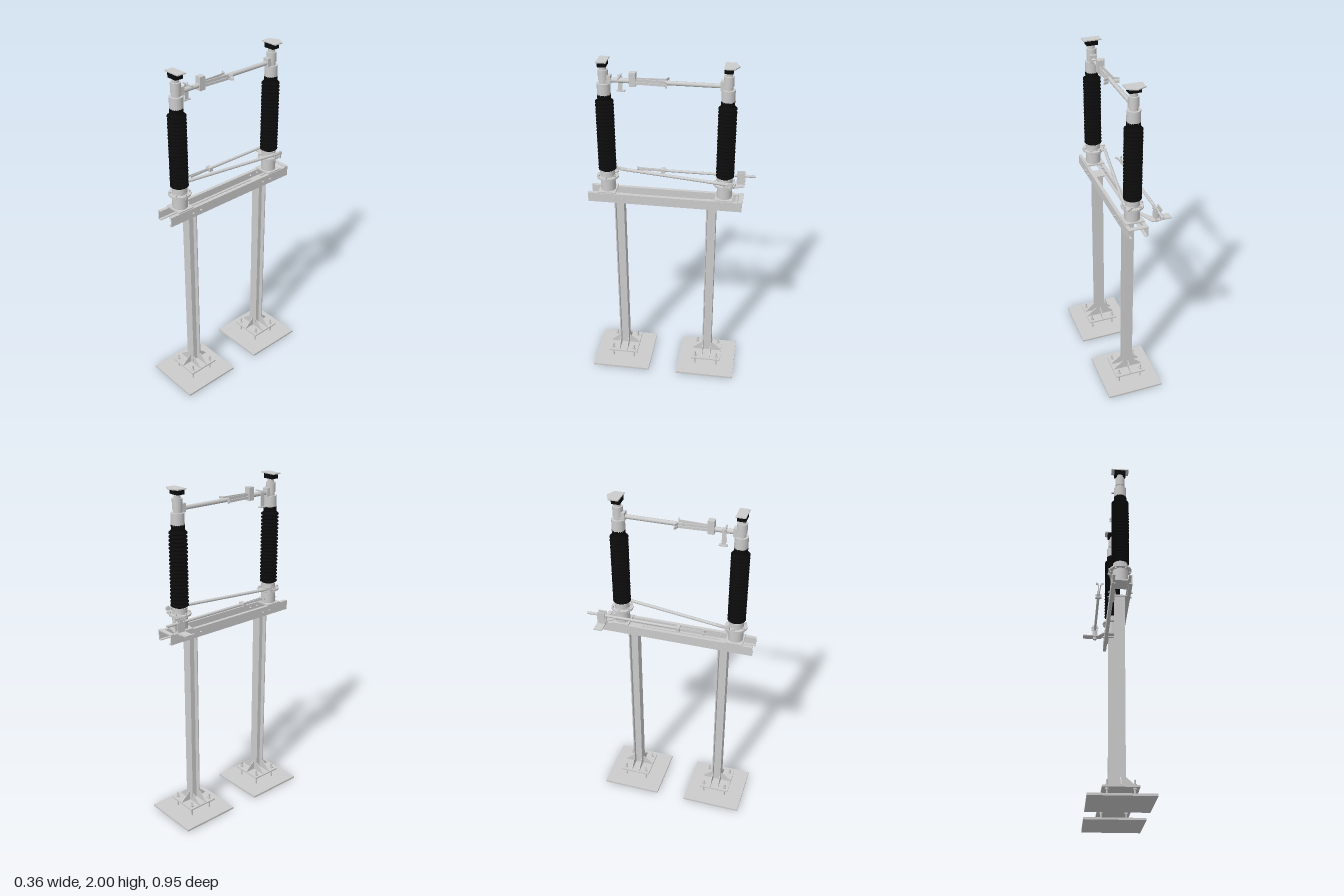
import * as THREE from 'three';

const grey = new THREE.MeshStandardMaterial({ color: 0xcccccc, side: THREE.DoubleSide });
const flat = new THREE.MeshStandardMaterial({ color: 0xcccccc, flatShading: true, side: THREE.DoubleSide });
const black = new THREE.MeshStandardMaterial({ color: 0x0a0a0a, side: THREE.DoubleSide });

function add(parent, name, geo, mat, x = 0, y = 0, z = 0) {
  const m = new THREE.Mesh(geo, mat);
  m.name = name;
  m.position.set(x, y, z);
  parent.add(m);
  return m;
}
const box = (p, name, w, h, d, x, y, z, mat = flat) =>
  add(p, name, new THREE.BoxGeometry(w, h, d), mat, x, y, z);
// Upright cylinder between two heights
const drum = (p, name, r, y0, y1, x = 0, z = 0, mat = grey, n = 20) =>
  add(p, name, new THREE.CylinderGeometry(r, r, y1 - y0, n), mat, x, (y0 + y1) / 2, z);
// Round bar between two points
function bar(p, name, a, b, r, mat = grey, n = 12) {
  const A = new THREE.Vector3(...a), B = new THREE.Vector3(...b);
  const m = add(p, name, new THREE.CylinderGeometry(r, r, A.distanceTo(B), n), mat);
  m.position.copy(A).add(B).multiplyScalar(0.5);
  m.quaternion.setFromUnitVectors(new THREE.Vector3(0, 1, 0), B.sub(A).normalize());
  return m;
}
// Flat strip between two points, width measured upright
function strip(p, name, a, b, width, thick) {
  const A = new THREE.Vector3(...a), B = new THREE.Vector3(...b);
  const m = box(p, name, thick, width, A.distanceTo(B), 0, 0, 0);
  m.position.copy(A).add(B).multiplyScalar(0.5);
  m.lookAt(B);
  return m;
}
// Polygon plate lying level; points are [x, z]
function plate(p, name, pts, thick, y) {
  const shape = new THREE.Shape(pts.map(([x, z]) => new THREE.Vector2(x, -z)));
  const g = new THREE.ExtrudeGeometry(shape, { depth: thick, bevelEnabled: false });
  return add(p, name, g.rotateX(-Math.PI / 2), flat, 0, y, 0);
}

// Footing, anchor bolts, stiffeners and H-section post
function makeColumn(z) {
  const g = new THREE.Group();
  g.name = 'supportColumn';
  g.position.set(0.005, 0, z);
  box(g, 'footing', 0.345, 0.012, 0.358, 0, 0.006, 0);
  box(g, 'basePlate', 0.19, 0.009, 0.185, 0, 0.07, 0);
  for (const sx of [-1, 1]) for (const sz of [-1, 1]) {
    const x = sx * 0.07, bz = sz * 0.068;
    drum(g, 'anchorRod', 0.005, 0.01, 0.107, x, bz, grey, 8);
    for (const y of [0.056, 0.0745]) drum(g, 'anchorNut', 0.01, y, y + 0.01, x, bz, flat, 6);
  }
  for (const s of [-1, 1]) {
    box(g, 'flange', 0.057, 1.09, 0.006, 0, 0.62, s * 0.025);
    // Triangular stiffeners on the sides and faces of the post
    const tri = new THREE.Shape([[0, 0], [0.062, 0], [0.062, 0.006], [0.006, 0.055], [0, 0.055]]
      .map(p => new THREE.Vector2(...p)));
    const geo = () => new THREE.ExtrudeGeometry(tri, { depth: 0.005, bevelEnabled: false });
    for (const fz of [-1, 1]) {
      const side = add(g, 'sideStiffener', geo(), flat, s * 0.026, 0.0745, fz * 0.025 - 0.0025);
      if (s < 0) side.rotation.y = Math.PI, side.position.z += 0.005;
    }
    const face = add(g, 'faceStiffener', geo(), flat, s * 0.0025, 0.0745, s * 0.028);
    face.rotation.y = -s * Math.PI / 2;
  }
  box(g, 'web', 0.005, 1.09, 0.05, 0, 0.62, 0);
  return g;
}

// Bearing, ribbed insulator and terminal head
function makePole(z, dir) {
  const g = new THREE.Group();
  g.name = dir > 0 ? 'backPole' : 'frontPole';
  g.position.set(0.006, 0, z);
  box(g, 'mountPlate', 0.11, 0.008, 0.1, 0, 1.223, 0);
  drum(g, 'bearing', 0.043, 1.225, 1.32);
  drum(g, 'turningRing', 0.063, 1.304, 1.314);
  drum(g, 'lowerCap', 0.042, 1.32, 1.35);
  for (let i = 0; i < 6; i++) {
    const a = i * Math.PI / 3;
    drum(g, 'ringBolt', 0.006, 1.296, 1.325, 0.054 * Math.cos(a), 0.054 * Math.sin(a), flat, 6);
  }
  // Ribbed insulator
  const pts = [new THREE.Vector2(0.035, 1.345)];
  const n = 20, step = 0.0212;
  for (let i = 0; i < n; i++) {
    const y = 1.352 + i * step;
    for (const [r, f] of [[0.04, 0], [0.051, 0.3], [0.051, 0.5], [0.04, 0.95]])
      pts.push(new THREE.Vector2(r, y + f * step));
  }
  pts.push(new THREE.Vector2(0.037, 1.78), new THREE.Vector2(0.037, 1.808));
  add(g, 'insulator', new THREE.LatheGeometry(pts, 24), black);
  drum(g, 'upperCap', 0.037, 1.804, 1.87);
  drum(g, 'headNeck', 0.024, 1.87, 1.893);
  drum(g, 'headSleeve', 0.028, 1.89, 1.945);
  drum(g, 'headSpindle', 0.019, 1.945, 1.97);
  box(g, 'armSocket', 0.036, 0.048, 0.045, 0, 1.892, dir * 0.02);
  box(g, 'terminalBlock', 0.066, 0.028, 0.046, 0, 1.98, 0, black);
  const outline = dir > 0
    ? [[-0.051, 0.024], [0.051, 0.024], [0.051, -0.032], [0, -0.056], [-0.051, -0.032]]
    : [[-0.051, 0.026], [0.051, 0.026], [0.051, -0.028], [-0.051, -0.028]];
  plate(g, 'terminalPlate', outline, 0.006, 1.994);
  return g;
}

export function createModel() {
  const root = new THREE.Group();
  root.name = 'disconnectSwitch';
  root.add(makeColumn(0.295), makeColumn(-0.24));
  root.add(makePole(0.36, -1), makePole(-0.31, 1));

  // Twin channel beams with cross members
  const frame = new THREE.Group();
  frame.name = 'beamFrame';
  root.add(frame);
  for (const s of [-1, 1]) {
    box(frame, 'beamWeb', 0.005, 0.056, 0.885, 0.008 + s * 0.0545, 1.192, 0.027);
    for (const y of [1.1665, 1.2175])
      box(frame, 'beamFlange', 0.02, 0.005, 0.885, 0.008 + s * 0.047, y, 0.027);
    for (const z of [-0.265, -0.21, 0.265, 0.318])
      bar(frame, 'beamBolt', [0.008 + s * 0.04, 1.192, z], [0.008 + s * 0.069, 1.192, z], 0.005, flat, 6);
  }
  for (const z of [-0.24, 0.293]) box(frame, 'postHead', 0.1, 0.008, 0.075, 0.008, 1.168, z);
  box(frame, 'endCrossPlate', 0.112, 0.005, 0.024, 0.008, 1.222, -0.407);
  box(frame, 'endCrossLip', 0.112, 0.005, 0.02, 0.008, 1.213, -0.384).rotation.x = 0.8;

  // Main contact arms meeting between the poles
  const arms = new THREE.Group();
  arms.name = 'contactArms';
  root.add(arms);
  bar(arms, 'frontArm', [0.007, 1.888, 0.34], [0.007, 1.888, 0.2], 0.013);
  bar(arms, 'backArm', [0.007, 1.888, -0.29], [0.007, 1.888, 0.05], 0.012);
  box(arms, 'fingerClamp', 0.036, 0.075, 0.035, 0.008, 1.9, 0.2);
  for (const s of [-1, 1]) {
    const x = 0.008;
    for (const y of [1.88, 1.898]) {
      strip(arms, 'contactFinger', [x + s * 0.008, y, 0.19], [x + s * 0.016, y, 0.024], 0.013, 0.005);
      strip(arms, 'fingerTip', [x + s * 0.016, y, 0.024], [x + s * 0.043, y, 0.012], 0.013, 0.005);
    }
  }
  // Earthing contact hung from the front arm
  strip(arms, 'hangerStrap', [-0.018, 1.865, 0.262], [-0.018, 1.865, 0.285], 0.09, 0.006);
  box(arms, 'hangerBar', 0.074, 0.008, 0.009, -0.003, 1.905, 0.275);
  box(arms, 'hangerFoot', 0.022, 0.006, 0.045, -0.022, 1.819, 0.272);

  // Crossed coupling rod that turns both poles together
  const drive = new THREE.Group();
  drive.name = 'driveLinkage';
  root.add(drive);
  bar(drive, 'couplingRod', [-0.045, 1.328, 0.29], [0.06, 1.332, -0.335], 0.009);
  strip(drive, 'frontRodEye', [-0.055, 1.329, 0.335], [-0.04, 1.329, 0.26], 0.018, 0.01);
  strip(drive, 'backRodEye', [0.053, 1.332, -0.29], [0.066, 1.332, -0.36], 0.018, 0.01);
  plate(drive, 'frontLever', [[-0.062, 0.31], [-0.04, 0.305], [0, 0.33], [-0.02, 0.37], [-0.056, 0.345]], 0.008, 1.312);
  plate(drive, 'backLever', [[0.072, -0.345], [0.05, -0.37], [0.005, -0.34], [0.02, -0.29], [0.055, -0.3]], 0.008, 1.312);
  drum(drive, 'frontPin', 0.006, 1.3, 1.345, -0.052, 0.322, flat, 8);
  drum(drive, 'backPin', 0.006, 1.3, 1.345, 0.064, -0.348, flat, 8);

  // Earthing blade resting beside the frame
  const blade = new THREE.Group();
  blade.name = 'earthingBlade';
  root.add(blade);
  const bx = -0.103;
  bar(blade, 'bladeTube', [bx, 1.307, -0.48], [bx, 1.307, 0.06], 0.008);
  box(blade, 'bladeClamp', 0.036, 0.024, 0.022, bx, 1.307, 0.056);
  for (const s of [-1, 1]) {
    strip(blade, 'bladeFinger', [bx + s * 0.003, 1.307, 0.06], [bx + s * 0.007, 1.307, 0.2], 0.012, 0.004);
    strip(blade, 'bladeTip', [bx + s * 0.007, 1.307, 0.2], [bx + s * 0.02, 1.307, 0.21], 0.012, 0.004);
  }

  // Bracket and hinge carrying the blade
  box(blade, 'bracketPlate', 0.11, 0.006, 0.048, -0.126, 1.255, -0.395);
  plate(blade, 'bracketArm', [[-0.08, -0.418], [-0.066, -0.418], [-0.03, -0.33], [-0.04, -0.31], [-0.08, -0.371]], 0.006, 1.252);
  for (const s of [-1, 1])
    box(blade, 'hingeCheek', 0.005, 0.075, 0.046, bx + s * 0.013, 1.292, -0.395);
  for (const z of [-0.413, -0.381])
    bar(blade, 'hingeBolt', [bx - 0.022, 1.315, z], [bx + 0.022, 1.315, z], 0.004, flat, 6);
  drum(blade, 'hingePost', 0.012, 1.235, 1.295, bx, -0.392, grey, 10);
  return root;
}
